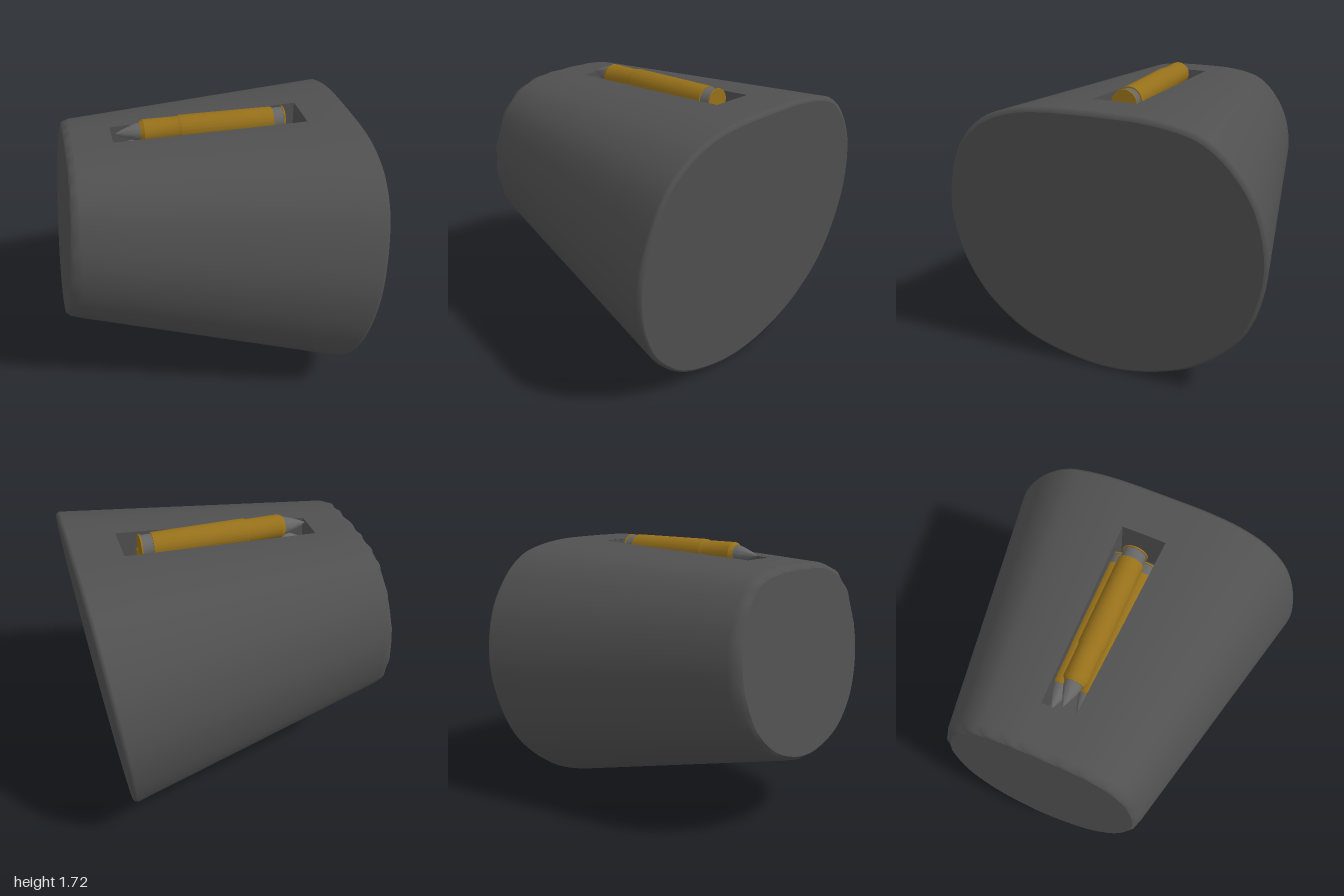
import * as THREE from 'three';
import { toCreasedNormals } from 'three/addons/utils/BufferGeometryUtils.js';

const material = (color, side = THREE.FrontSide) => new THREE.MeshStandardMaterial({ color, side });
const bodyMat = material(0x505050);
const pocketMat = material(0x505050, THREE.DoubleSide);
const brassMat = material(0x96701a);
const steelMat = material(0x666666);

// Cross-section (z from -1 to 1, y from 0 to 1), starting and ending at the window edges
const PROFILE = [
  [0.14, 1], [0.3, 0.997], [0.5, 0.98], [0.7, 0.932], [0.86, 0.84], [0.965, 0.69], [1, 0.55],
  [0.96, 0.39], [0.85, 0.245], [0.7, 0.145], [0.55, 0.08], [0.3, 0.025],
  [0, 0], [-0.3, 0.025], [-0.6, 0.1], [-0.85, 0.24], [-0.96, 0.39], [-1, 0.56],
  [-0.94, 0.74], [-0.8, 0.875], [-0.65, 0.95], [-0.5, 0.98], [-0.3, 0.997], [-0.156, 1],
];
const STEPS = 5;
const COUNT = PROFILE.length * STEPS;
const curve = new THREE.CatmullRomCurve3(PROFILE.map(([z, y]) => new THREE.Vector3(0, y, z)), true);
const outline = Array.from({ length: COUNT }, (_, i) => curve.getPoint(i / COUNT));

// Tilted section: [xTop, xBottom, yTop, yBottom, zMin, zMax]
const SMALL = [-0.79, -0.86, 1.61, 0.437, -0.69, 0.61];
const LARGE = [0.92, 0.75, 1.683, 0, -1, 1];
const between = (t) => SMALL.map((v, i) => v + (LARGE[i] - v) * t);
const atTopX = (x) => between((x - SMALL[0]) / (LARGE[0] - SMALL[0]));
const place = ([xt, xb, yt, yb, z0, z1], p) => new THREE.Vector3(
  xb + (xt - xb) * p.y, yb + (yt - yb) * p.y, (z0 + z1) / 2 + p.z * (z1 - z0) / 2);

const SECTIONS = [
  [-0.84, -0.95, 1.575, 0.48, -0.64, 0.57],
  [-0.825, -0.925, 1.6, 0.458, -0.67, 0.592],
  SMALL, atTopX(-0.55), atTopX(0.64), LARGE,
  [0.938, 0.77, 1.676, 0.005, -0.995, 0.995],
  [0.943, 0.78, 1.655, 0.02, -0.98, 0.98],
];
const HOLE = 3; // the window lies between sections 3 and 4

function fromVertices(points, index) {
  const g = new THREE.BufferGeometry().setFromPoints(points);
  g.setIndex(index);
  g.computeVertexNormals();
  return g;
}

function shellGeometry() {
  const points = [], index = [];
  SECTIONS.forEach((s, r) => outline.forEach((p, i) => {
    const v = place(s, p);
    // slight ripple around the small rim
    if (r === 1) v.x += 0.007 * Math.cos((i / COUNT) * Math.PI * 2 * 20);
    points.push(v);
  }));
  for (let r = 0; r < SECTIONS.length - 1; r++) {
    for (let i = 0; i < COUNT; i++) {
      if (r === HOLE && i >= COUNT - STEPS) continue;
      const j = (i + 1) % COUNT;
      const a = r * COUNT + i, b = r * COUNT + j, c = a + COUNT, d = b + COUNT;
      index.push(a, b, c, b, d, c);
    }
  }
  return fromVertices(points, index);
}

function capGeometry(section, facesRight) {
  const points = [place(section, new THREE.Vector3(0, 0.5, 0)), ...outline.map((p) => place(section, p))];
  const index = [];
  for (let i = 0; i < COUNT; i++) {
    const a = 1 + i, b = 1 + (i + 1) % COUNT;
    index.push(0, ...(facesRight ? [a, b] : [b, a]));
  }
  return fromVertices(points, index);
}

// Open-topped recess under the window
function pocketGeometry() {
  const first = outline[0], last = outline[COUNT - STEPS];
  const a = SECTIONS[HOLE], b = SECTIONS[HOLE + 1];
  const top = [place(a, first), place(b, first), place(b, last), place(a, last)];
  const floor = top.map((p) => new THREE.Vector3(p.x, 1.36, p.z));
  const index = [4, 5, 6, 4, 6, 7];
  for (let i = 0; i < 4; i++) {
    const j = (i + 1) % 4;
    index.push(i, j, i + 4, j, j + 4, i + 4);
  }
  const g = fromVertices([...top, ...floor], index).toNonIndexed();
  g.computeVertexNormals();
  return g;
}

// Turned part along x; points are [x, radius]
function turned(name, profile, mat) {
  const g = new THREE.LatheGeometry(profile.map(([x, r]) => new THREE.Vector2(r, x)), 24);
  g.rotateZ(-Math.PI / 2);
  const mesh = new THREE.Mesh(toCreasedNormals(g, 0.5), mat);
  mesh.name = name;
  return mesh;
}

function cartridge(y, z) {
  const g = new THREE.Group();
  g.name = 'cartridge';
  g.add(
    turned('tip', [[-0.53, 0], [-0.49, 0.02], [-0.44, 0.04], [-0.4, 0.053], [-0.36, 0.06]], steelMat),
    turned('case', [[-0.38, 0.055], [-0.38, 0.06], [-0.355, 0.074], [-0.145, 0.074],
      [-0.13, 0.081], [0.45, 0.081], [0.45, 0.06]], brassMat),
    turned('groove', [[0.448, 0.073], [0.518, 0.073]], steelMat),
    turned('rim', [[0.516, 0], [0.516, 0.08], [0.525, 0.08], [0.525, 0]], brassMat),
  );
  g.position.set(0, y, z);
  return g;
}

export function createModel() {
  const model = new THREE.Group();
  const add = (name, geometry, mat) => {
    const mesh = new THREE.Mesh(geometry, mat);
    mesh.name = name;
    model.add(mesh);
  };
  add('body', shellGeometry(), bodyMat);
  add('smallEnd', capGeometry(SECTIONS[0], false), bodyMat);
  add('largeEnd', capGeometry(SECTIONS[SECTIONS.length - 1], true), bodyMat);
  add('windowPocket', pocketGeometry(), pocketMat);
  // One cartridge on top of a staggered pair
  model.add(cartridge(1.635, -0.02), cartridge(1.495, -0.1), cartridge(1.495, 0.062));
  return model;
}
